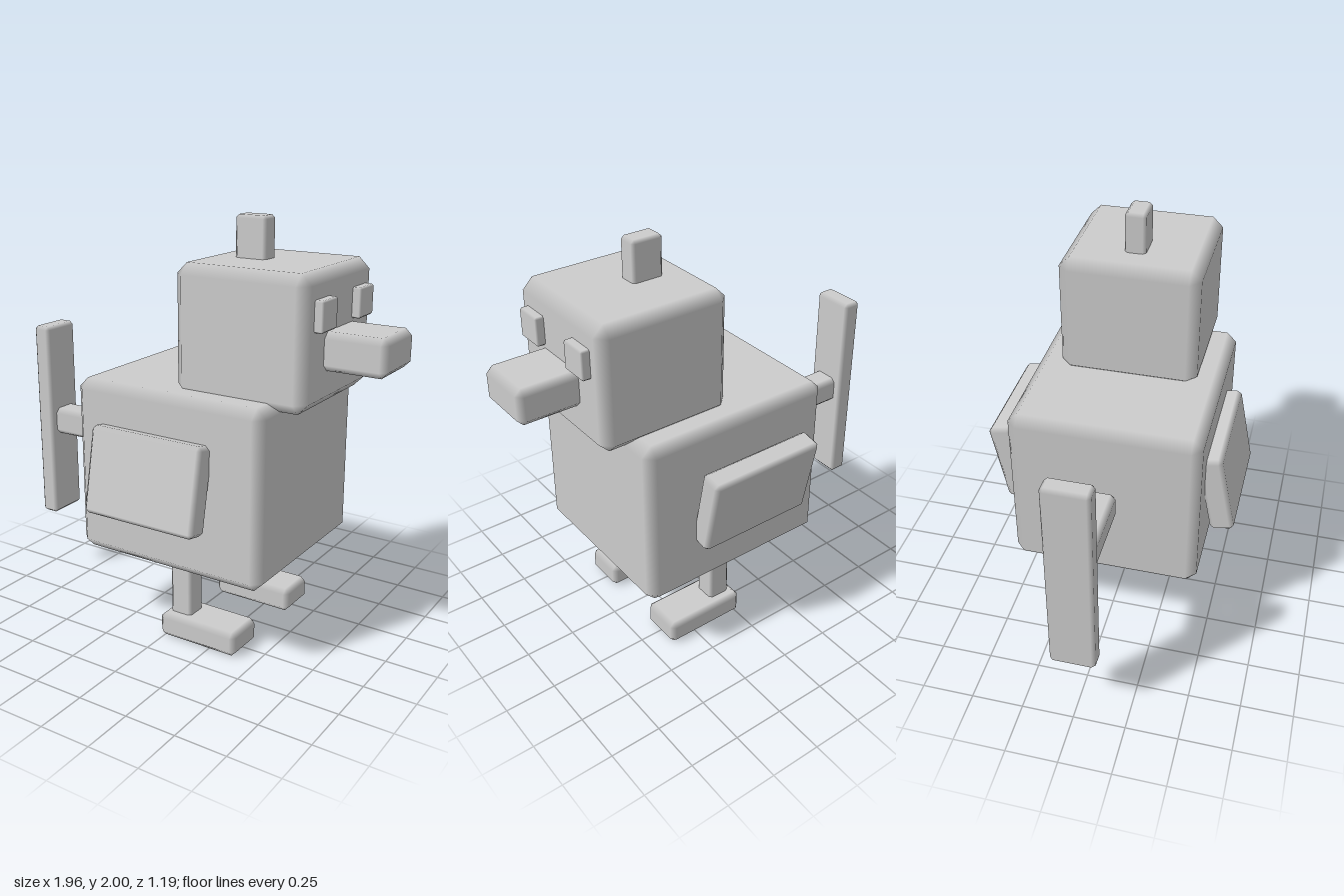
import * as THREE from 'three';
import { ConvexGeometry } from 'three/addons/geometries/ConvexGeometry.js';

// Box with single-cut edges whose bevels shade smoothly between the faces
function bevelBox(w, h, d, bevel) {
  const half = [w / 2, h / 2, d / 2];
  const points = [];
  for (const sx of [-1, 1]) for (const sy of [-1, 1]) for (const sz of [-1, 1]) {
    for (let face = 0; face < 3; face++) {
      const p = [sx, sy, sz].map((s, i) => s * (half[i] - (i === face ? 0 : bevel)));
      points.push(new THREE.Vector3(...p));
    }
  }
  const geometry = new ConvexGeometry(points);
  const pos = geometry.attributes.position, normal = geometry.attributes.normal;
  for (let i = 0; i < pos.count; i++) {
    const p = [pos.getX(i), pos.getY(i), pos.getZ(i)];
    const n = p.map((v, k) => (Math.abs(Math.abs(v) - half[k]) < 1e-4 ? Math.sign(v) : 0));
    normal.setXYZ(i, ...n);
  }
  return geometry;
}

export function createModel() {
  const model = new THREE.Group();
  model.name = 'blockBird';
  const grey = new THREE.MeshStandardMaterial({ color: 0xcccccc });
  grey.name = 'plainGrey';

  // Adds a bevelled block spanning the given ranges
  function block(name, [x0, x1], [y0, y1], [z0, z1], bevel) {
    const mesh = new THREE.Mesh(bevelBox(x1 - x0, y1 - y0, z1 - z0, bevel), grey);
    mesh.name = name;
    mesh.position.set((x0 + x1) / 2, (y0 + y1) / 2, (z0 + z1) / 2);
    model.add(mesh);
    return mesh;
  }

  // Body and head
  block('body', [-0.432, 0.568], [0.402, 1.251], [-0.45, 0.45], 0.047);
  block('head', [0.04, 0.698], [1.21, 1.81], [-0.33, 0.33], 0.05);
  block('crest', [0.19, 0.347], [1.77, 2.0], [-0.05, 0.05], 0.015);
  block('beak', [0.66, 0.98], [1.375, 1.548], [-0.15, 0.15], 0.03);

  // Tail rod and upright tail plate
  block('tailRod', [-0.91, -0.432], [0.79, 0.928], [-0.07, 0.07], 0.025);
  block('tailPlate', [-0.983, -0.888], [0.345, 1.37], [-0.107, 0.107], 0.017);

  // Paired parts
  for (const side of [1, -1]) {
    const label = side > 0 ? 'Front' : 'Back';
    const span = (a, b) => (side > 0 ? [a, b] : [-b, -a]);
    block('eye' + label, [0.67, 0.738], [1.563, 1.7], span(0.113, 0.252), 0.008);
    block('leg' + label, [0.01, 0.125], [0.09, 0.39], span(0.205, 0.318), 0.015);
    block('foot' + label, [-0.022, 0.397], [0, 0.12], span(0.152, 0.37), 0.024);
    // Both wings lean the same way
    const wing = block('wing' + label, [-0.283, 0.315], [0.652, 1.063], span(0.446, 0.561), 0.02);
    wing.rotation.x = -0.195;
  }
  return model;
}
